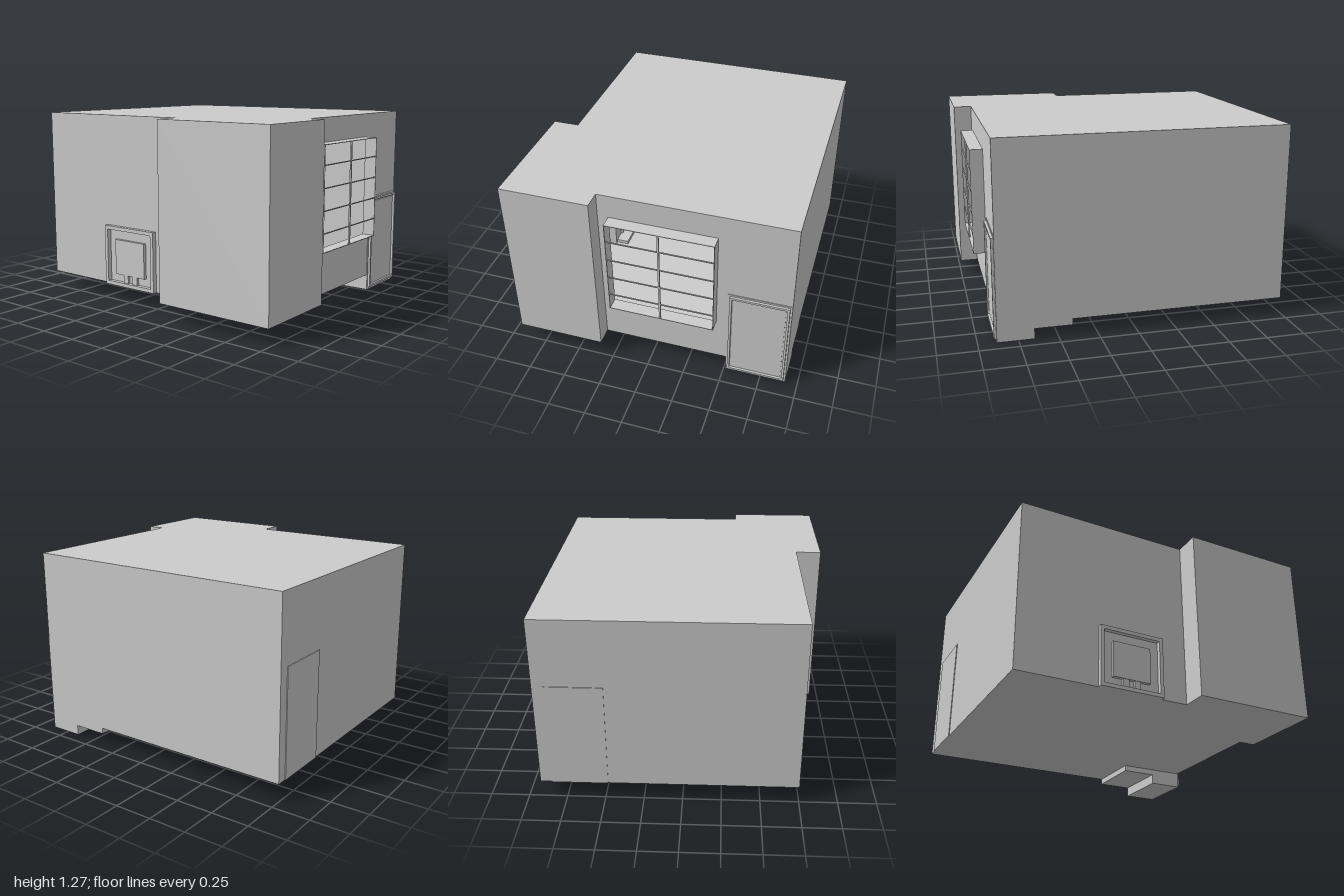
import * as THREE from 'three';

const mat = new THREE.MeshStandardMaterial({ color: 0xcccccc, side: THREE.DoubleSide });
const FLOOR = 0.11, ROOF = 1.27;

const polygon = (pts) => new THREE.Shape(pts.map(([x, y]) => new THREE.Vector2(x, y)));
const rect = (x0, y0, x1, y1) => polygon([[x0, y0], [x1, y0], [x1, y1], [x0, y1]]);

export function createModel() {
  const model = new THREE.Group();
  model.name = 'house';

  function add(name, geometry, parent = model) {
    const mesh = new THREE.Mesh(geometry, mat);
    mesh.name = name;
    parent.add(mesh);
    return mesh;
  }
  function box(name, x0, x1, y0, y1, z0, z1, parent) {
    const m = add(name, new THREE.BoxGeometry(x1 - x0, y1 - y0, z1 - z0), parent);
    m.position.set((x0 + x1) / 2, (y0 + y1) / 2, (z0 + z1) / 2);
    return m;
  }
  function group(name) {
    const g = new THREE.Group();
    g.name = name;
    model.add(g);
    return g;
  }
  // Horizontal sheet from an outline in (x, z)
  function slab(name, shape, y, parent) {
    const g = new THREE.ShapeGeometry(shape).rotateX(Math.PI / 2);
    add(name, g, parent).position.y = y;
  }
  // Frame outline with a hole, extruded along +z
  function frame(x0, y0, x1, y1, w, depth) {
    const s = rect(x0, y0, x1, y1);
    s.holes.push(rect(x0 + w, y0 + w, x1 - w, y1 - w));
    return new THREE.ExtrudeGeometry(s, { depth, bevelEnabled: false });
  }

  // Shell: roof, floor with stairwell, and walls round the footprint
  const plan = [[-0.75, -0.995], [0.92, -0.995], [0.92, 0.88], [-0.33, 0.88],
    [-0.33, 1], [-0.92, 1], [-0.92, 0.17], [-0.75, 0.17]];
  slab('roof', polygon(plan), ROOF);
  const floor = polygon(plan);
  floor.holes.push(rect(0.515, 0.41, 0.919, 0.879));
  slab('floor', floor, FLOOR);

  plan.forEach(([x0, z0], i) => {
    const [x1, z1] = plan[(i + 1) % plan.length];
    const len = Math.hypot(x1 - x0, z1 - z0);
    const shape = rect(0, FLOOR, len, ROOF);
    // Window opening in the front wall, which runs from x = 0.92 leftwards
    if (i === 2) shape.holes.push(rect(0.92 - 0.44, 0.42, 0.92 + 0.26, 1.11));
    const wall = add('wall', new THREE.ShapeGeometry(shape));
    wall.position.set(x0, 0, z0);
    wall.rotation.y = -Math.atan2(z1 - z0, x1 - x0);
  });

  // Bay window: open box with thin glazing bars
  const bay = group('bayWindow');
  add('bayCasing', frame(-0.26, 0.42, 0.44, 1.11, 0.004, 0.085), bay).position.z = 0.88;
  for (const y of [0.545, 0.69, 0.835, 0.98]) {
    box('glazingBar', -0.26, 0.44, y - 0.003, y + 0.003, 0.957, 0.965, bay);
  }
  box('mullion', 0.08, 0.092, 0.42, 1.11, 0.955, 0.965, bay);

  // Sunken stairwell behind the front door
  const stairs = group('entranceStairs');
  slab('lowerStep', rect(0.51, 0.65, 0.92, 0.88), 0.002, stairs);
  slab('upperStep', rect(0.51, 0.41, 0.92, 0.65), 0.07, stairs);
  const side = polygon([[-0.88, 0.002], [-0.65, 0.002], [-0.65, 0.07], [-0.41, 0.07], [-0.41, FLOOR], [-0.88, FLOOR]]);
  for (const x of [0.51, 0.92]) {
    const cheek = add('stairCheek', new THREE.ShapeGeometry(side), stairs);
    cheek.rotation.y = Math.PI / 2;
    cheek.position.x = x;
  }
  add('riser', new THREE.ShapeGeometry(rect(0.51, 0.002, 0.92, 0.07)), stairs).position.z = 0.65;
  add('riser', new THREE.ShapeGeometry(rect(0.51, 0.07, 0.92, FLOOR)), stairs).position.z = 0.41;

  // Front door
  const door = group('frontDoor');
  box('doorSurround', 0.512, 0.919, 0, 0.68, 0.878, 0.884, door);
  add('doorFrame', frame(0.525, 0.02, 0.907, 0.668, 0.015, 0.02), door).position.z = 0.88;
  box('doorPanel', 0.55, 0.882, 0.045, 0.643, 0.88, 0.888, door);

  // Flat back door
  box('backDoor', 0.48, 0.85, FLOOR, 0.82, -1, -0.99);

  // Fireplace on the right-hand wall: arched surround, hearth and outer hatch
  const fire = group('fireplace');
  const front = rect(0.01, FLOOR, 0.45, 0.55);
  const arch = new THREE.Path();
  arch.moveTo(0.13, 0.14);
  arch.lineTo(0.33, 0.14);
  arch.lineTo(0.33, 0.34);
  arch.absarc(0.23, 0.34, 0.1, 0, Math.PI, false);
  arch.lineTo(0.13, 0.14);
  front.holes.push(arch);
  const surround = add('surround', new THREE.ExtrudeGeometry(front, { depth: 0.14, bevelEnabled: false, curveSegments: 16 }), fire);
  surround.rotation.y = Math.PI / 2;
  surround.position.x = -0.745;

  // Raised moulding round the arch
  const rim = new THREE.CurvePath();
  const v = (y, z) => new THREE.Vector3(-0.6, y, z);
  const rimPts = [v(0.14, -0.12), v(0.25, -0.12), v(0.34, -0.12)];
  for (let i = 1; i < 8; i++) {
    const a = (i / 8) * Math.PI;
    rimPts.push(v(0.34 + 0.11 * Math.sin(a), -0.23 + 0.11 * Math.cos(a)));
  }
  rimPts.push(v(0.34, -0.34), v(0.25, -0.34), v(0.14, -0.34));
  for (let i = 1; i < rimPts.length; i++) rim.add(new THREE.LineCurve3(rimPts[i - 1], rimPts[i]));
  add('archMoulding', new THREE.TubeGeometry(rim, 40, 0.012, 6), fire);
  box('hearth', -0.62, -0.52, FLOOR, 0.135, -0.43, -0.03, fire);

  const hatch = group('outerHatch');
  const border = add('hatchFrame', frame(0.01, FLOOR, 0.45, 0.52, 0.025, 0.03), hatch);
  border.rotation.y = Math.PI / 2;
  border.position.x = -0.78;
  box('hatchPanel', -0.772, -0.75, 0.19, 0.43, -0.36, -0.1, hatch);
  for (const z of [-0.27, -0.19]) box('hatchLeg', -0.768, -0.75, 0.135, 0.19, z - 0.02, z + 0.02, hatch);

  return model;
}
